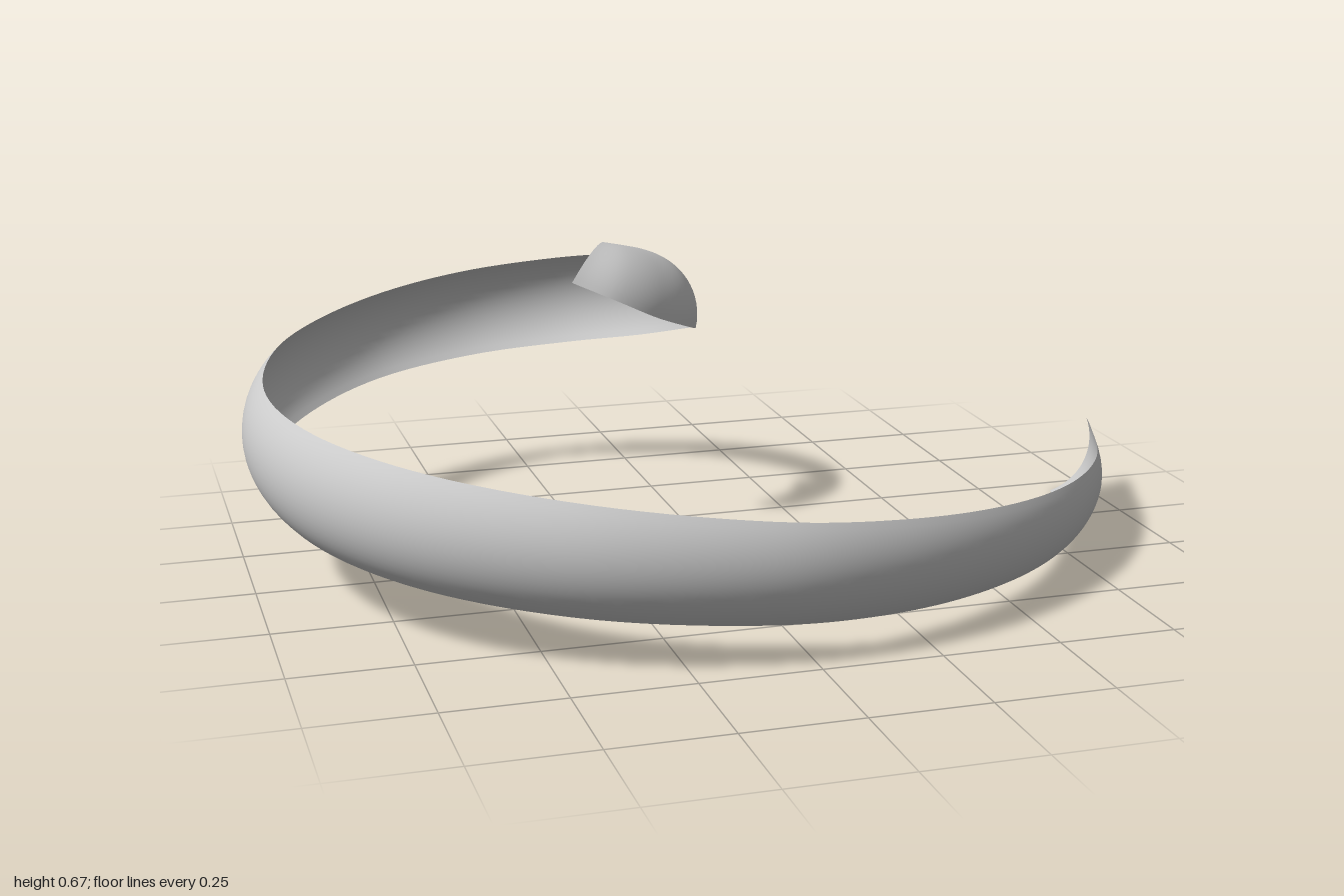
import * as THREE from 'three';

// Matching stations along the lower and upper edge of the band, outer end first
const LOWER = [
  [0.91, 0, -0.19], [0.884, 0.004, -0.106], [0.777, 0.013, 0.162], [0.611, 0.026, 0.385],
  [0.4, 0.042, 0.549], [0.161, 0.058, 0.651], [-0.085, 0.076, 0.686], [-0.433, 0.104, 0.623],
  [-0.715, 0.13, 0.445], [-0.889, 0.153, 0.189], [-0.95, 0.178, -0.1], [-0.9, 0.217, -0.38],
  [-0.772, 0.247, -0.568], [-0.598, 0.273, -0.696], [-0.37, 0.3, -0.738], [-0.155, 0.328, -0.683],
  [-0.015, 0.362, -0.565], [0.062, 0.418, -0.375], [0.015, 0.46, -0.205], [-0.09, 0.51, -0.115],
  [-0.185, 0.558, -0.09], [-0.28, 0.6, -0.113],
];
const UPPER = [
  [0.99, 0.18, -0.175], [0.958, 0.184, -0.086], [0.837, 0.199, 0.196], [0.656, 0.219, 0.43],
  [0.43, 0.244, 0.6], [0.176, 0.273, 0.705], [-0.085, 0.303, 0.739], [-0.448, 0.347, 0.658],
  [-0.733, 0.38, 0.463], [-0.9, 0.4, 0.194], [-0.952, 0.416, -0.1], [-0.89, 0.44, -0.37],
  [-0.76, 0.463, -0.548], [-0.588, 0.489, -0.664], [-0.4, 0.516, -0.7], [-0.206, 0.543, -0.655],
  [-0.09, 0.568, -0.551], [-0.04, 0.597, -0.395], [-0.058, 0.62, -0.315], [-0.095, 0.638, -0.268],
  [-0.133, 0.649, -0.25], [-0.172, 0.655, -0.25],
];

const curveOf = (rows) => new THREE.CatmullRomCurve3(rows.map((p) => new THREE.Vector3(...p)));

// Curled band: a quarter-circle section swept between the two edge curves
function spiralBand(lengthSteps, arcSteps) {
  const lower = curveOf(LOWER);
  const upper = curveOf(UPPER);
  const geometry = new THREE.PlaneGeometry(1, 1, lengthSteps, arcSteps);
  const pos = geometry.attributes.position;
  const uv = geometry.attributes.uv;
  for (let i = 0; i < pos.count; i++) {
    const t = 1 - uv.getX(i);
    const a = lower.getPoint(t);
    const b = upper.getPoint(t);
    const chord = b.clone().sub(a);
    const along = lower.getTangent(t).add(upper.getTangent(t));
    const outward = chord.clone().cross(along).normalize();

    // quarter circle standing on the chord
    const angle = (uv.getY(i) - 0.5) * Math.PI / 2;
    const radius = chord.length() / Math.SQRT2;
    const point = a.add(b).multiplyScalar(0.5)
      .addScaledVector(chord.normalize(), radius * Math.sin(angle))
      .addScaledVector(outward, radius * (Math.cos(angle) - Math.SQRT1_2));
    pos.setXYZ(i, point.x, point.y, point.z);
  }
  geometry.computeVertexNormals();
  return geometry;
}

export function createModel() {
  const group = new THREE.Group();
  group.name = 'spiralRibbon';
  const material = new THREE.MeshStandardMaterial({ color: 0xcccccc, side: THREE.DoubleSide });
  const band = new THREE.Mesh(spiralBand(160, 16), material);
  band.name = 'curledBand';
  group.add(band);
  return group;
}
